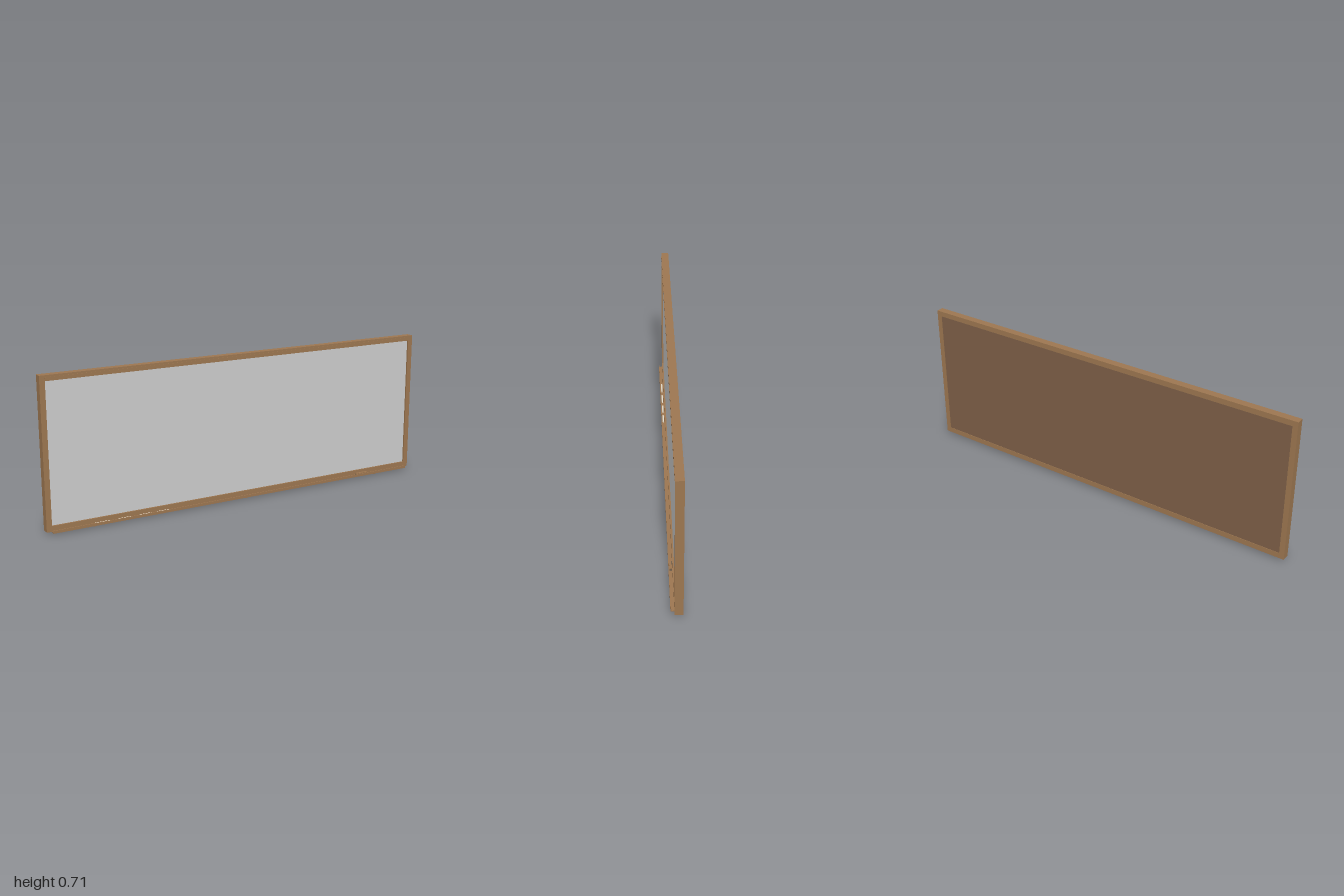
import * as THREE from 'three';

const mat = (color) => new THREE.MeshStandardMaterial({ color });

export function createModel() {
  const group = new THREE.Group();
  const wood = mat(0x9c7650), backing = mat(0x7d5f47), grey = mat(0xcccccc);
  const felt = mat(0x4a4a48), chalkWhite = mat(0xe8e0d0);

  const add = (name, geometry, material) => {
    const mesh = new THREE.Mesh(geometry, material);
    mesh.name = name;
    group.add(mesh);
    return mesh;
  };
  // Box given by its limits on each axis
  const box = (name, material, [x0, x1], [y0, y1], [z0, z1]) => {
    const mesh = add(name, new THREE.BoxGeometry(x1 - x0, y1 - y0, z1 - z0), material);
    mesh.position.set((x0 + x1) / 2, (y0 + y1) / 2, (z0 + z1) / 2);
    return mesh;
  };

  // Frame: full-width rails with stiles between them
  const depth = [-0.027, 0.01];
  box('topRail', wood, [-1, 1], [0.687, 0.713], depth);
  box('bottomRail', wood, [-1, 1], [0.012, 0.038], depth);
  box('leftStile', wood, [0.975, 1], [0.038, 0.687], depth);
  box('rightStile', wood, [-1, -0.975], [0.038, 0.687], depth);
  box('displayStrip', wood, [-0.975, 0.975], [0.696, 0.704], [0.01, 0.0115]);

  // Writing surface in front of its wooden backing
  box('writingSurface', grey, [-0.975, 0.975], [0.038, 0.687], [-0.008, 0.002]);
  box('backPanel', backing, [-0.975, 0.975], [0.038, 0.687], [-0.025, -0.008]);

  // Ledge with a raised lip
  box('trayBase', wood, [-0.975, 0.975], [0.008, 0.012], [-0.007, 0.027]);
  box('trayLip', wood, [-0.975, 0.975], [0.012, 0.021], [0.023, 0.027]);

  // Wedge brackets under the ledge
  const wedge = new THREE.Shape([
    new THREE.Vector2(-0.025, 0.008), new THREE.Vector2(-0.025, 0.006),
    new THREE.Vector2(-0.005, 0), new THREE.Vector2(-0.005, 0.008),
  ]);
  for (const x of [-0.78, 0, 0.78]) {
    const bracket = add('trayBracket',
      new THREE.ExtrudeGeometry(wedge, { depth: 0.01, bevelEnabled: false }), wood);
    bracket.rotation.y = Math.PI / 2;
    bracket.position.x = x - 0.005;
  }

  // Chalk sticks and eraser lying in the tray
  [-0.74, -0.63, -0.53, -0.44].forEach((x, i) => {
    const stick = add('chalkStick',
      new THREE.CylinderGeometry(0.004, 0.004, 0.075 - i * 0.006, 10), chalkWhite);
    stick.rotation.z = Math.PI / 2;
    stick.position.set(x, 0.016, 0.017);
  });
  box('eraserFelt', felt, [0.66, 0.73], [0.012, 0.019], [0.011, 0.023]);
  box('eraserBack', wood, [0.66, 0.73], [0.019, 0.025], [0.012, 0.023]);

  return group;
}
